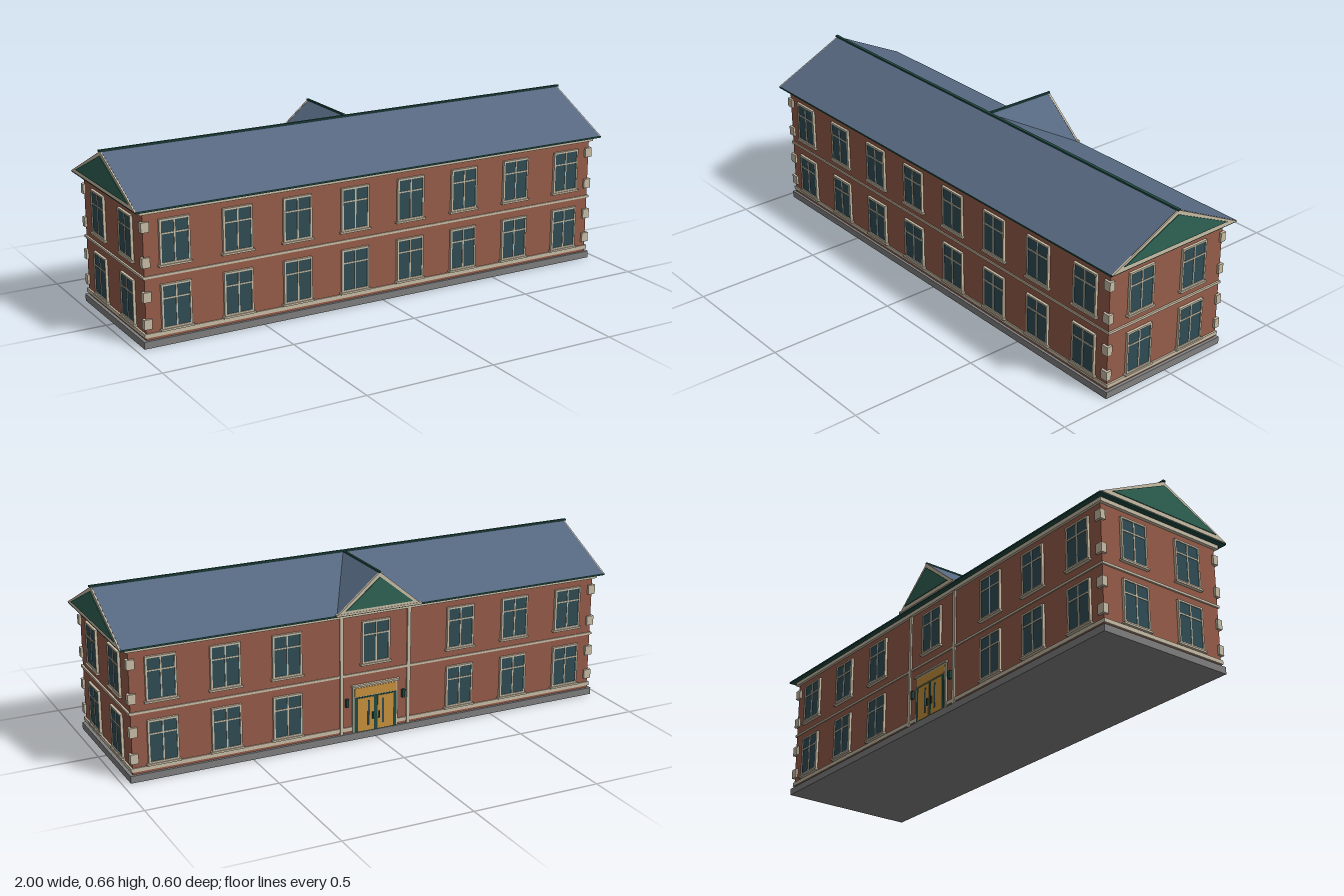
import * as THREE from 'three';

const paint = (color) => new THREE.MeshStandardMaterial({ color });

export function createModel() {
  const model = new THREE.Group();
  const building = new THREE.Group();
  building.name = 'building';
  building.position.z = 0.004;
  model.add(building);

  const brick = paint(0x965c4a), trim = paint(0xc8bda6), glass = paint(0x2f4c54);
  const green = paint(0x2f6354), darkGreen = paint(0x1f4a42), slate = paint(0x566880);
  const stone = paint(0x808080), wood = paint(0xc8923c);

  // Box given by centre x, bottom y, centre z
  function box(name, mat, w, h, d, x, y, z, parent = building) {
    const mesh = new THREE.Mesh(new THREE.BoxGeometry(w, h, d), mat);
    mesh.position.set(x, y + h / 2, z);
    mesh.name = name;
    parent.add(mesh);
    return mesh;
  }

  // Triangular prism facing +z, base on y, starting at z
  function gable(name, mat, half, y, h, depth, z, parent) {
    const shape = new THREE.Shape([
      new THREE.Vector2(-half, y), new THREE.Vector2(half, y), new THREE.Vector2(0, y + h)]);
    const mesh = new THREE.Mesh(
      new THREE.ExtrudeGeometry(shape, { depth, bevelEnabled: false }), mat);
    mesh.position.z = z;
    mesh.name = name;
    parent.add(mesh);
  }

  // A group whose local +z points outward from one wall
  function facade(name, angle) {
    const g = new THREE.Group();
    g.name = name;
    g.rotation.y = angle;
    building.add(g);
    return g;
  }

  const X = 0.958, Z = 0.268;

  // Walls, plinth and horizontal bands
  box('plinth', stone, 1.94, 0.027, 0.556, 0, 0, 0);
  box('walls', brick, 2 * X, 0.463, 2 * Z, 0, 0.027, 0);
  box('baseBand', trim, 1.93, 0.015, 0.544, 0, 0.037, 0);
  box('floorBand', trim, 1.93, 0.009, 0.544, 0, 0.254, 0);
  box('cornice', trim, 1.942, 0.015, 0.556, 0, 0.488, 0);
  box('eaves', darkGreen, 1.985, 0.006, 0.597, 0, 0.503, 0);

  // Corner stones
  for (const sx of [-1, 1]) for (const sz of [-1, 1])
    for (const y of [0.07, 0.17, 0.296, 0.424])
      box('cornerStone', trim, 0.03, 0.037, 0.022, sx * 0.952, y, sz * 0.266);

  // Framed window with cross bars and a sill
  function addWindow(parent, x, y, wall) {
    const g = new THREE.Group();
    g.name = 'window';
    g.position.set(x, y, wall);
    parent.add(g);
    for (const s of [-1, 1])
      box('frameSide', trim, 0.007, 0.165, 0.02, s * 0.0545, 0, 0, g);
    for (const fy of [0, 0.158])
      box('frameRail', trim, 0.102, 0.007, 0.02, 0, fy, 0, g);
    box('glass', glass, 0.102, 0.151, 0.014, 0, 0.007, 0, g);
    box('mullion', trim, 0.005, 0.151, 0.018, 0, 0.007, 0, g);
    box('transom', trim, 0.102, 0.005, 0.018, 0, 0.11, 0, g);
    box('sill', trim, 0.128, 0.007, 0.028, 0, -0.007, 0, g);
  }

  const floors = [0.061, 0.298];
  const front = facade('front', 0), back = facade('back', Math.PI);
  const sides = [facade('leftSide', Math.PI / 2), facade('rightSide', -Math.PI / 2)];
  for (const y of floors) {
    for (const s of [-1, 1]) {
      for (const x of [0.12, 0.36, 0.6, 0.842]) {
        addWindow(front, s * x, y, Z);
        if (x > 0.2) addWindow(back, s * x, y, Z);
      }
      for (const side of sides) addWindow(side, s * 0.1255, y, X);
    }
  }
  addWindow(back, 0, floors[1], Z);

  // Rear entrance: double door, overlight, pilasters and wall lamps
  box('doorFrame', trim, 0.19, 0.183, 0.012, 0, 0.027, Z, back);
  box('doorPanel', darkGreen, 0.176, 0.14, 0.015, 0, 0.027, Z, back);
  box('overlight', wood, 0.176, 0.034, 0.016, 0, 0.17, Z, back);
  box('doorHead', trim, 0.2, 0.007, 0.024, 0, 0.21, Z, back);
  for (const s of [-1, 1]) {
    box('doorLeaf', wood, 0.066, 0.132, 0.018, s * 0.041, 0.03, Z, back);
    box('doorGlass', glass, 0.008, 0.1, 0.02, s * 0.03, 0.05, Z, back);
    box('doorHandle', darkGreen, 0.005, 0.028, 0.028, s * 0.013, 0.073, Z, back);
    box('wallLamp', darkGreen, 0.012, 0.032, 0.02, s * 0.118, 0.135, Z, back);
    box('pilaster', trim, 0.014, 0.463, 0.012, s * 0.14, 0.027, Z, back);
  }

  // Main roof with pediments at both ends
  const roof = facade('mainRoof', Math.PI / 2);
  gable('roofBody', slate, 0.298, 0.508, 0.145, 1.98, -0.99, roof);
  for (const side of sides) {
    gable('pedimentTrim', trim, 0.297, 0.508, 0.144, 0.006, 0.989, side);
    gable('pedimentPanel', green, 0.245, 0.524, 0.112, 0.004, 0.994, side);
  }
  box('ridgeCap', darkGreen, 2, 0.006, 0.012, 0, 0.651, 0);

  // Cross gable roof running back from the ridge
  const a = [0, 0.653, 0], c = [0, 0.653, -0.298];
  const r = [0.172, 0.508, -0.298], l = [-0.172, 0.508, -0.298];
  const geo = new THREE.BufferGeometry();
  geo.setAttribute('position',
    new THREE.Float32BufferAttribute([a, r, c, a, c, l].flat(), 3));
  geo.computeVertexNormals();
  const cross = new THREE.Mesh(geo, slate);
  cross.name = 'crossGableRoof';
  building.add(cross);
  gable('crossGableTrim', trim, 0.174, 0.508, 0.146, 0.008, 0.295, back);
  gable('crossGablePanel', green, 0.138, 0.524, 0.112, 0.004, 0.302, back);
  box('crossGableBase', trim, 0.352, 0.008, 0.014, 0, 0.506, 0.298, back);
  box('crossRidgeCap', darkGreen, 0.008, 0.006, 0.304, 0, 0.651, -0.152);

  return model;
}
